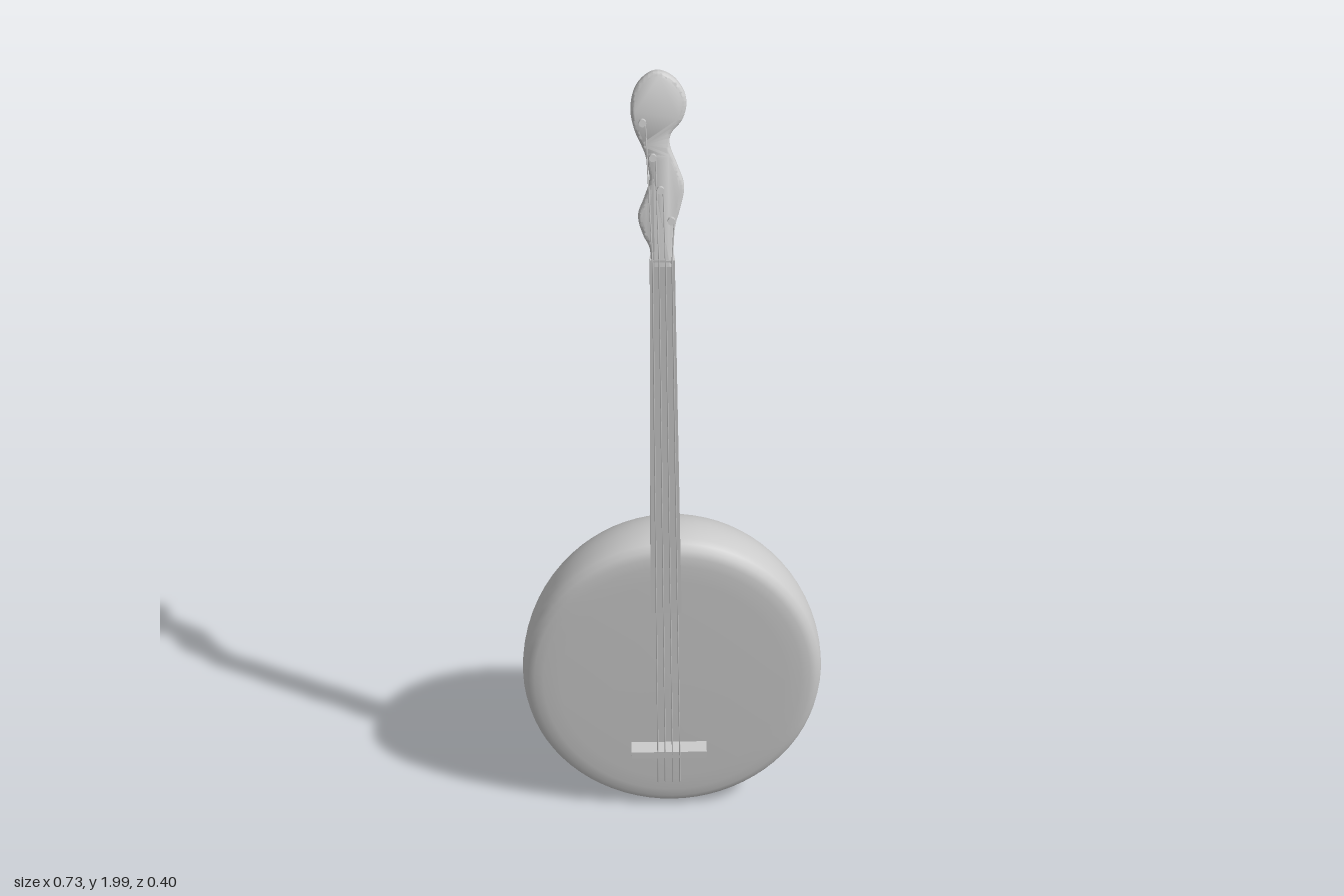
import * as THREE from 'three';
import { toCreasedNormals } from 'three/addons/utils/BufferGeometryUtils.js';

const grey = new THREE.MeshStandardMaterial({ color: 0xcccccc });
const lerp = THREE.MathUtils.lerp;
const NUT_Y = 1.6, FRONT = 0.185, TILT = 0.273;

function add(parent, name, geometry) {
  const mesh = new THREE.Mesh(geometry, grey);
  mesh.name = name;
  parent.add(mesh);
  return mesh;
}

// Domed back with a tight rounded rim and an almost flat face
function bodyGeometry() {
  const profile = [];
  for (let i = 0; i <= 28; i++) {
    const t = (i / 28) * Math.PI / 2;
    profile.push(new THREE.Vector2(Math.sin(t), 0.1 - 0.3 * Math.cos(t)));
  }
  const rim = [[0.998, 0.12], [0.987, 0.137], [0.96, 0.15], [0.92, 0.156], [0.86, 0.159], [0.75, 0.161], [0.4, 0.163], [0, 0.164]];
  rim.forEach(([r, z]) => profile.push(new THREE.Vector2(r, z)));
  const g = new THREE.LatheGeometry(profile, 72);
  g.rotateX(Math.PI / 2);
  g.scale(0.365, 0.407, 1);
  g.translate(0, 0.408, 0);
  return g;
}

// Neck: D-shaped section, tapered towards the nut
function neckGeometry() {
  const d = new THREE.Shape();
  d.moveTo(-1, 0);
  d.lineTo(1, 0);
  d.lineTo(1, 0.35);
  d.absellipse(0, 0.35, 1, 0.65, 0, Math.PI, false);
  d.closePath();
  const g = new THREE.ExtrudeGeometry(d, { depth: 1, steps: 4, bevelEnabled: false, curveSegments: 18 });
  g.rotateX(-Math.PI / 2);
  const p = g.attributes.position;
  for (let i = 0; i < p.count; i++) {
    const t = p.getY(i);
    p.setXYZ(i,
      lerp(-0.016, -0.023, t) + p.getX(i) * lerp(0.037, 0.027, t),
      lerp(0.64, NUT_Y + 0.005, t),
      FRONT + p.getZ(i) * lerp(0.06, 0.043, t));
  }
  return toCreasedNormals(g, 0.6);
}

// Wavy headstock outline, measured up from the nut
function headstockGeometry() {
  const outline = [
    [-0.048, -0.01], [-0.05, 0.03], [-0.064, 0.06], [-0.074, 0.1], [-0.06, 0.14], [-0.049, 0.18], [-0.058, 0.235],
    [-0.079, 0.285], [-0.088, 0.33], [-0.079, 0.375], [-0.055, 0.404], [-0.026, 0.413], [0.008, 0.395],
    [0.03, 0.355], [0.023, 0.312], [-0.002, 0.28], [-0.004, 0.25], [0.012, 0.207], [0.025, 0.165],
    [0.017, 0.12], [0.006, 0.08], [0.001, 0.03], [0.002, -0.01],
  ].reverse().map(([x, y]) => new THREE.Vector2(x, y));
  const shape = new THREE.Shape();
  shape.moveTo(outline[0].x, outline[0].y);
  shape.splineThru(outline.slice(1));
  shape.closePath();
  const g = new THREE.ExtrudeGeometry(shape, {
    depth: 0.018, curveSegments: 80, bevelThickness: 0.01, bevelSize: 0.009, bevelOffset: -0.009, bevelSegments: 4,
  });
  g.translate(0, 0, -0.028);
  return toCreasedNormals(g, 0.7);
}

// String: straight runs between points
function stringGeometry(points) {
  const path = new THREE.CurvePath();
  for (let i = 1; i < points.length; i++) path.add(new THREE.LineCurve3(points[i - 1], points[i]));
  return new THREE.TubeGeometry(path, 60, 0.0015, 6);
}

export function createModel() {
  const model = new THREE.Group();
  model.name = 'roundBackedLute';

  add(model, 'body', bodyGeometry());
  add(model, 'neck', neckGeometry());

  const head = new THREE.Group();
  head.name = 'head';
  head.position.set(0, NUT_Y, FRONT);
  head.rotation.x = -TILT;
  model.add(head);
  add(head, 'headstock', headstockGeometry());

  // Bridge standing on the face
  const bridge = add(model, 'bridge', new THREE.BoxGeometry(0.185, 0.02, 0.045));
  bridge.position.set(-0.009, 0.208, 0.1785);

  // Four pegs, each with its string over the nut and bridge to the tail
  const pegs = [[-0.063, 1.895], [-0.042, 1.823], [-0.026, 1.755], [-0.003, 1.69]];
  pegs.forEach(([x, y], i) => {
    const s = (y - NUT_Y) / Math.cos(TILT);
    const peg = add(head, 'peg', new THREE.CylinderGeometry(0.008, 0.008, 0.02, 16));
    peg.rotation.x = Math.PI / 2;
    peg.position.set(x, s, 0.005);

    const nutX = -0.044 + i * 0.014, bridgeX = -0.037 + i * 0.018;
    add(model, 'string', stringGeometry([
      new THREE.Vector3(x + 0.006, y, FRONT + 0.008 - (y - NUT_Y) * Math.tan(TILT)),
      new THREE.Vector3(nutX, NUT_Y, FRONT + 0.004),
      new THREE.Vector3(bridgeX, 0.208, 0.201),
      new THREE.Vector3(bridgeX + 0.001, 0.08, 0.158),
    ]));
  });
  return model;
}
